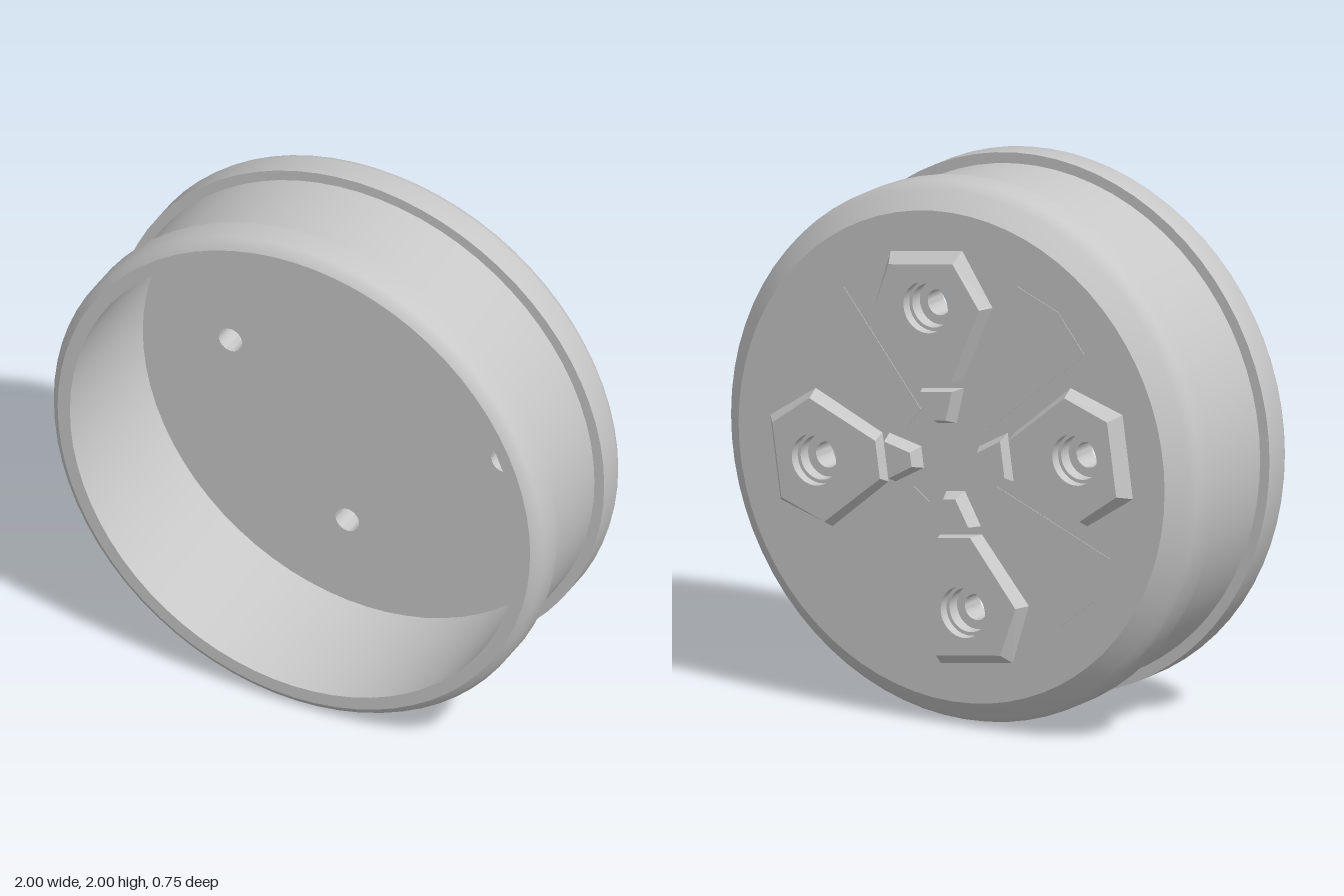
import * as THREE from 'three';
import { mergeGeometries, toCreasedNormals } from 'three/addons/utils/BufferGeometryUtils.js';

const grey = new THREE.MeshStandardMaterial({ color: 0xc8c8c8 });
grey.name = 'plain grey';

const TILT = Math.atan2(0.08, 0.56); // twist of the bolt pattern
const BOLT = 0.562;                  // bolt circle radius
const PLATE = 0.325, TOP = 0.374, FLOOR = 0.182; // heights towards the back

function part(name, geometry) {
  const mesh = new THREE.Mesh(geometry, grey);
  mesh.name = name;
  return mesh;
}

const vectors = (pts) => pts.map(([a, b]) => new THREE.Vector2(a, b));

// Lathe about z, with sharp edges kept
function turned(points, segments) {
  const g = new THREE.LatheGeometry(vectors(points), segments).rotateX(Math.PI / 2);
  return toCreasedNormals(g, 0.6);
}

// Flat disc facing +z with four bolt holes
function drilledDisc(radius, holeRadius, startAngle) {
  const shape = new THREE.Shape().absarc(0, 0, radius, 0, Math.PI * 2);
  for (let k = 0; k < 4; k++) {
    const a = startAngle + k * Math.PI / 2;
    shape.holes.push(new THREE.Path().absarc(
      BOLT * Math.cos(a), BOLT * Math.sin(a), holeRadius, 0, Math.PI * 2, true));
  }
  return new THREE.ShapeGeometry(shape, 36);
}

// Full outline, counter-clockwise, from its lower half
const mirrored = (half) => [...half, ...half.map(([u, v]) => [u, -v]).reverse()];

// Block with sloping sides between two outlines, and an optional round hole
function bevelBlock(baseHalf, topHalf, z0, z1, hole) {
  const base = mirrored(baseHalf), top = mirrored(topHalf);
  const shape = new THREE.Shape(vectors(top));
  if (hole) shape.holes.push(new THREE.Path().absarc(BOLT, 0, hole, 0, Math.PI * 2, true));
  const cap = new THREE.ShapeGeometry(shape, 20).translate(0, 0, z1).toNonIndexed();
  cap.deleteAttribute('uv');
  const p = [];
  base.forEach((b, i) => {
    const j = (i + 1) % base.length;
    const a0 = [...b, z0], a1 = [...base[j], z0], b0 = [...top[i], z1], b1 = [...top[j], z1];
    p.push(...a0, ...a1, ...b1, ...a0, ...b1, ...b0);
  });
  const sides = new THREE.BufferGeometry();
  sides.setAttribute('position', new THREE.Float32BufferAttribute(p, 3));
  sides.computeVertexNormals();
  return mergeGeometries([cap, sides]);
}

export function createModel() {
  const model = new THREE.Group();
  model.name = 'wheelCover';
  const body = new THREE.Group();
  body.name = 'body';
  body.position.y = 1;
  model.add(body);

  // Rim: back flange, groove, front lip and inner wall
  body.add(part('rim', turned([
    [0.91, -PLATE], [0.975, -0.265], [0.995, -0.242], [1, -0.225], [1, -0.126],
    [0.96, -0.126], [0.96, 0.236], [1, 0.236], [1, 0.338], [0.988, 0.358], [0.965, 0.374],
    [0.915, 0.374], [0.915, -FLOOR],
  ], 72)));

  // Floor seen from the open front
  const floor = part('innerFloor', drilledDisc(0.915, 0.048, Math.PI / 2 - TILT));
  floor.position.z = -FLOOR;
  body.add(floor);

  // Back side, built facing +z and turned round
  const back = new THREE.Group();
  back.name = 'back';
  back.rotation.y = Math.PI;
  body.add(back);
  const plate = part('backPlate', drilledDisc(0.91, 0.09, Math.PI / 2 + TILT));
  plate.position.z = PLATE;
  back.add(plate);

  const bossGeo = bevelBlock(
    [[0.285, -0.09], [0.55, -0.255], [0.76, -0.155]],
    [[0.288, -0.07], [0.55, -0.228], [0.722, -0.138]], PLATE, TOP, 0.095);
  const tipGeo = bevelBlock(
    [[0.125, -0.04], [0.255, -0.09]],
    [[0.145, -0.026], [0.25, -0.068]], PLATE, TOP);
  const boreGeo = turned([
    [0.095, TOP], [0.095, 0.335], [0.082, 0.335], [0.082, 0.285], [0.048, 0.285], [0.048, FLOOR],
  ], 40);
  const wedge = [[0.2, -0.05], [0.71, -0.18], [0.757, -0.001]];
  const panelGeo = bevelBlock(wedge, wedge, PLATE, PLATE + 0.002);

  // Four bosses with stepped bolt holes, and shallow panels between them
  for (let k = 0; k < 4; k++) {
    const sector = new THREE.Group();
    sector.name = 'sector' + (k + 1);
    sector.rotation.z = TILT + k * Math.PI / 2;
    const bore = part('boltHole', boreGeo);
    bore.position.x = BOLT;
    const panel = part('shallowPanel', panelGeo);
    panel.rotation.z = Math.PI / 4;
    sector.add(part('boss', bossGeo), part('bossTip', tipGeo), bore, panel);
    back.add(sector);
  }
  return model;
}
